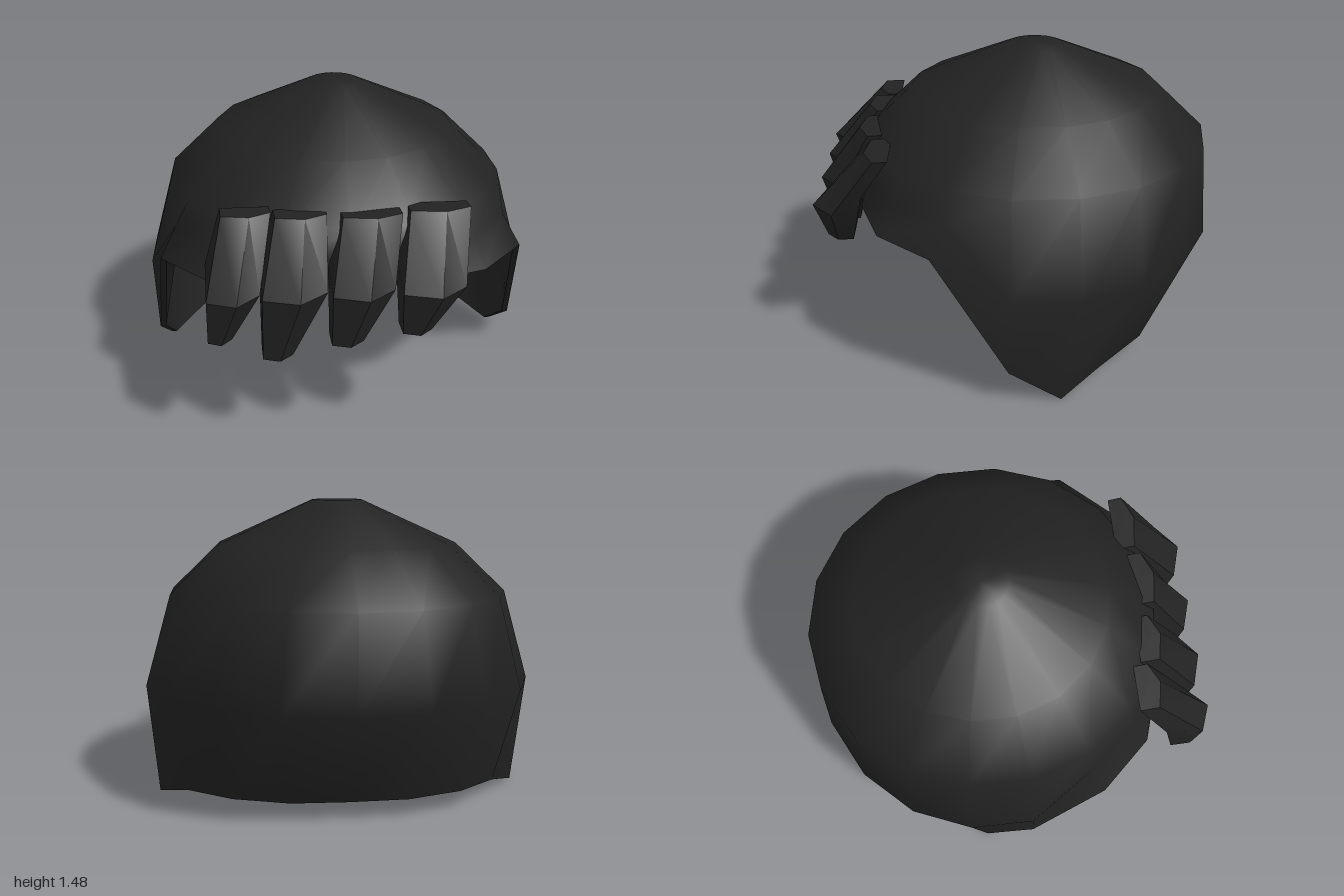
import * as THREE from 'three';
import { toCreasedNormals } from 'three/addons/utils/BufferGeometryUtils.js';

// Surface through rows of points; rows run downward, points run counterclockwise seen from above
function loft(rows, closed, flip = false) {
  const n = rows[0].length, index = [];
  for (let i = 0; i < rows.length - 1; i++) {
    for (let j = 0; j < (closed ? n : n - 1); j++) {
      const k = (j + 1) % n;
      const a = i * n + j, b = (i + 1) * n + j, c = (i + 1) * n + k, d = i * n + k;
      if (flip) index.push(a, c, d, a, b, c);
      else index.push(a, d, c, a, c, b);
    }
  }
  const g = new THREE.BufferGeometry();
  g.setAttribute('position', new THREE.Float32BufferAttribute(rows.flat(2), 3));
  g.setIndex(index);
  g.computeVertexNormals();
  return g;
}

// Hem points from the middle of the back round to the middle of the front (x, y, z)
const HEM = [
  [0, 0.09, -0.71], [0.28, 0.09, -0.7], [0.55, 0.09, -0.61], [0.77, 0.06, -0.37], [0.92, 0, -0.18],
  [0.95, 0.18, 0.07], [0.88, 0.755, 0.42], [0.65, 0.755, 0.67], [0.34, 0.755, 0.77], [0, 0.755, 0.8],
];
// Crown rings: height, x radius, z radius
const RINGS = [[1.475, 0, 0], [1.475, 0.125, 0.135], [1.26, 0.6, 0.62], [1.02, 0.85, 0.87]];
const CZ = -0.1, COLUMNS = 18;

function capRows() {
  const rows = [[], [], [], [], [], []];
  for (let j = 0; j < COLUMNS; j++) {
    const az = (j / COLUMNS) * Math.PI * 2;
    const k = Math.min(j, COLUMNS - j), side = j > 9 ? -1 : 1;
    const widest = k < 6 ? [0.57, 0.98, 0.9] : [0.89, 0.93, 0.89];
    [...RINGS, widest].forEach(([y, rx, rz], i) => {
      rows[i].push([Math.sin(az) * rx, y, CZ - Math.cos(az) * rz]);
    });
    rows[5].push([HEM[k][0] * side, HEM[k][1], HEM[k][2]]);
  }
  return rows;
}

// Five-sided section of a lock, with a ridge at the front; the back edge can sit higher
function section(x0, x1, y, zb, zf, rise = 0) {
  const w = x1 - x0, d = zf - zb;
  return [
    [x0, y + rise, zb], [x0 + w * 0.03, y, zf - d * 0.2], [x0 + w * 0.58, y, zf],
    [x1, y, zf - d * 0.42], [x1 - w * 0.03, y + rise, zb],
  ];
}

function lockGeometry([top, mid, tip, tipY, zBack]) {
  const rows = [
    section(top[0], top[1], 1.085, zBack, zBack + 0.12),
    section(mid[0], mid[1], 0.79, 0.75, 1.0, 0.09),
    section(tip[0], tip[1], tipY, 0.82, 0.95),
  ];
  // Close both ends with a point at the middle of the section
  const centre = (r) => r.map(() => [0, 1, 2].map((c) => r.reduce((s, p) => s + p[c], 0) / r.length));
  const all = [centre(rows[0]), ...rows, centre(rows[2])];
  // Index order is counterclockwise from above, so the outside is the flipped-free side
  return toCreasedNormals(loft(all, true), 0.6);
}

export function createModel() {
  const group = new THREE.Group();
  group.name = 'hair';
  const black = new THREE.MeshStandardMaterial({ color: 0x222222, side: THREE.DoubleSide });
  black.name = 'hair black';
  const add = (name, geometry) => {
    const mesh = new THREE.Mesh(geometry, black);
    mesh.name = name;
    group.add(mesh);
  };

  // Outer cap, thin lining and the rim joining them
  const outer = capRows();
  const inner = outer.map((row) => row.map(([x, y, z]) => [
    x * 0.97, y > 1 ? y - 0.03 : y, CZ + (z - CZ) * 0.97,
  ]));
  add('cap', loft(outer, true));
  add('lining', loft(inner, true, true));
  add('rim', loft([outer[5], inner[5]], true));

  // Fringe locks: x extents at top, middle and tip, tip height, depth of the top's back edge
  const locks = [
    [[-0.58, -0.35], [-0.65, -0.41], [-0.65, -0.54], 0.575, 0.6],
    [[-0.34, -0.1], [-0.41, -0.11], [-0.41, -0.27], 0.48, 0.64],
    [[-0.04, 0.24], [-0.1, 0.19], [-0.1, 0.05], 0.535, 0.66],
    [[0.27, 0.56], [0.21, 0.51], [0.22, 0.36], 0.58, 0.61],
  ];
  locks.forEach((l, i) => add('fringeLock' + (i + 1), lockGeometry(l)));
  return group;
}
